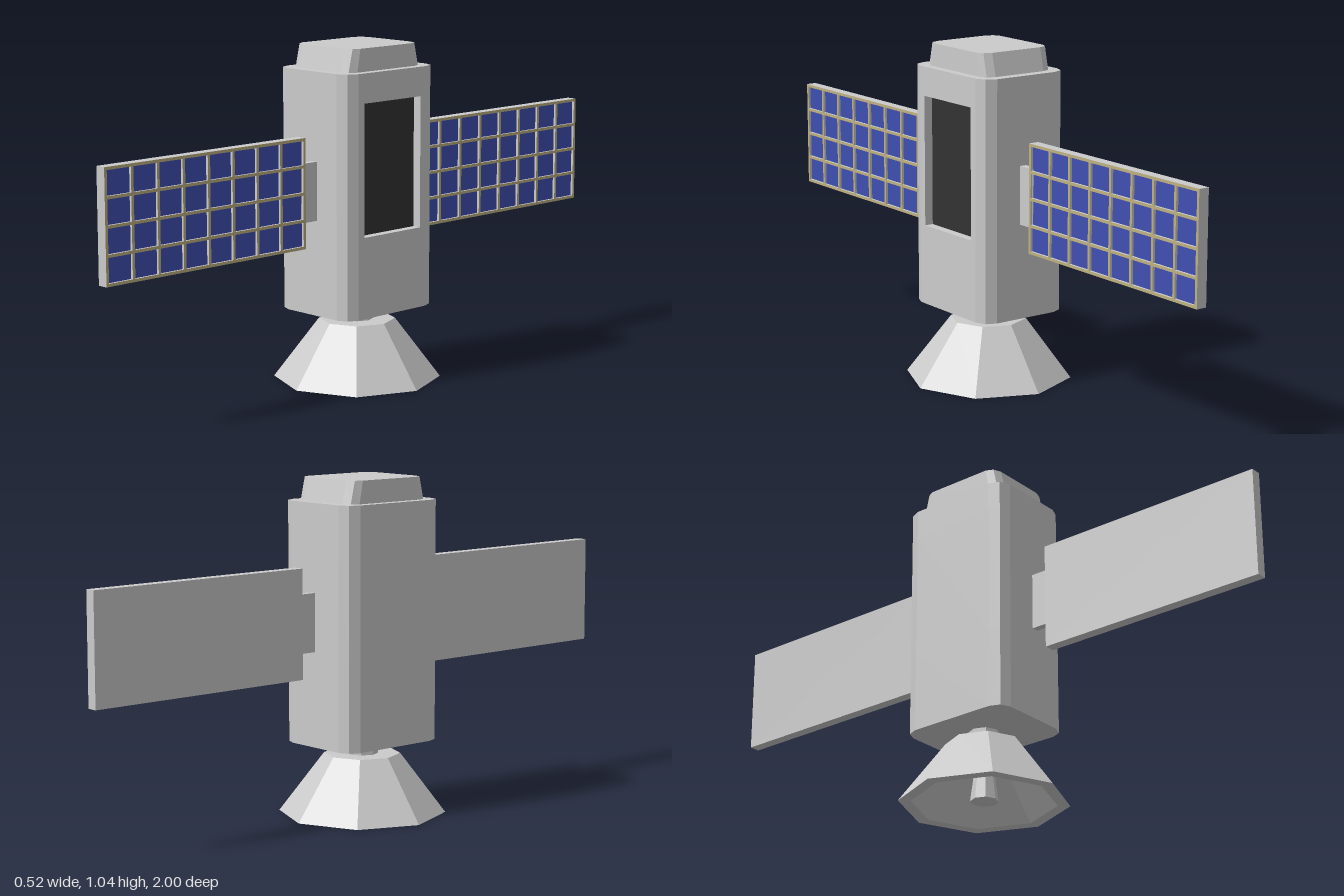
import * as THREE from 'three';

const paint = (color) => new THREE.MeshStandardMaterial({ color, flatShading: true });
const grey = paint(0xcccccc);
const dark = paint(0x333333);
const blue = paint(0x3f4fb1);
const tan = paint(0xbfb180);

function add(parent, name, geometry, material, x = 0, y = 0, z = 0) {
  const mesh = new THREE.Mesh(geometry, material);
  mesh.name = name;
  mesh.position.set(x, y, z);
  parent.add(mesh);
  return mesh;
}

// Upright prism with rounded corners, optionally notched on its +x side
function prism(w, d, r, height, notchHalf = 0, notchDepth = 0) {
  const s = new THREE.Shape();
  s.moveTo(w, r - d);
  if (notchHalf) {
    s.lineTo(w, -notchHalf);
    s.lineTo(w - notchDepth, -notchHalf);
    s.lineTo(w - notchDepth, notchHalf);
    s.lineTo(w, notchHalf);
  }
  const corners = [[1, 1], [-1, 1], [-1, -1], [1, -1]];
  corners.forEach(([sx, sy], i) => {
    const a = i * Math.PI / 2;
    s.absarc(sx * (w - r), sy * (d - r), r, a, a + Math.PI / 2, false);
  });
  const g = new THREE.ExtrudeGeometry(s, { depth: height, bevelEnabled: false, curveSegments: 1 });
  return g.rotateX(-Math.PI / 2);
}

// Lattice with rows x columns of square openings, facing +x
function lattice(length, height, cols, rows, bar, depth) {
  const s = new THREE.Shape();
  const rect = (path, x, y, w, h) => {
    path.moveTo(x, y);
    path.lineTo(x + w, y);
    path.lineTo(x + w, y + h);
    path.lineTo(x, y + h);
    path.closePath();
    return path;
  };
  rect(s, -length / 2, -height / 2, length, height);
  const pw = (length - bar) / cols, ph = (height - bar) / rows;
  for (let i = 0; i < cols; i++) {
    for (let j = 0; j < rows; j++) {
      s.holes.push(rect(new THREE.Path(), -length / 2 + bar + i * pw, -height / 2 + bar + j * ph, pw - bar, ph - bar));
    }
  }
  return new THREE.ExtrudeGeometry(s, { depth, bevelEnabled: false }).rotateY(Math.PI / 2);
}

export function createModel() {
  const model = new THREE.Group();
  model.name = 'satellite';

  // Body in three tiers, the middle one notched for the window
  const W = 0.153, D = 0.19, R = 0.046, recess = 0.03;
  const y0 = 0.225, y1 = 0.475, y2 = 0.88, y3 = 0.97;
  const body = new THREE.Group();
  body.name = 'body';
  model.add(body);
  add(body, 'lowerBody', prism(W, D, R, y1 - y0), grey, 0, y0);
  add(body, 'middleBody', prism(W, D, R, y2 - y1, 0.12, recess), grey, 0, y1);
  add(body, 'upperBody', prism(W, D, R, y3 - y2), grey, 0, y2);
  add(body, 'window', new THREE.PlaneGeometry(0.24, y2 - y1).rotateY(Math.PI / 2), dark,
    W - recess + 0.002, (y1 + y2) / 2);

  // Cap, tapering only front to back
  const cap = prism(0.125, 0.158, 0.036, 0.07);
  const p = cap.attributes.position;
  for (let i = 0; i < p.count; i++) if (p.getY(i) > 0.03) p.setZ(i, p.getZ(i) * 0.89);
  cap.computeVertexNormals();
  add(model, 'cap', cap, grey, 0, y3);

  // Neck and hollow eight-sided engine bell with its inner cone
  add(model, 'neck', new THREE.CylinderGeometry(0.05, 0.05, 0.05, 8), grey, 0, 0.203);
  const bell = [[0, 0.155], [0.09, 0.155], [0.22, 0], [0.258, 0], [0.118, 0.185], [0, 0.185]];
  add(model, 'engineBell', new THREE.LatheGeometry(bell.map(([x, y]) => new THREE.Vector2(x, y)), 8), grey);
  add(model, 'engineCone', new THREE.CylinderGeometry(0.022, 0.043, 0.155, 8), grey, 0, 0.0825);

  // Solar wings, front and back, with their cells facing +x
  const length = 0.757, height = 0.337, yc = 0.609;
  for (const side of [1, -1]) {
    const wing = new THREE.Group();
    wing.name = side > 0 ? 'frontWing' : 'backWing';
    model.add(wing);
    const zc = side * (1 - length / 2);
    add(wing, 'strut', new THREE.BoxGeometry(0.022, 0.18, 0.08), grey, 0.011, yc, side * 0.215);
    add(wing, 'panelBack', new THREE.BoxGeometry(0.026, height, length), grey, 0.008, yc, zc);
    add(wing, 'solarCells', new THREE.PlaneGeometry(length - 0.01, height - 0.01).rotateY(Math.PI / 2), blue, 0.0215, yc, zc);
    add(wing, 'cellFrame', lattice(length, height, 8, 4, 0.009, 0.008), [tan, grey], 0.021, yc, zc);
  }
  return model;
}
